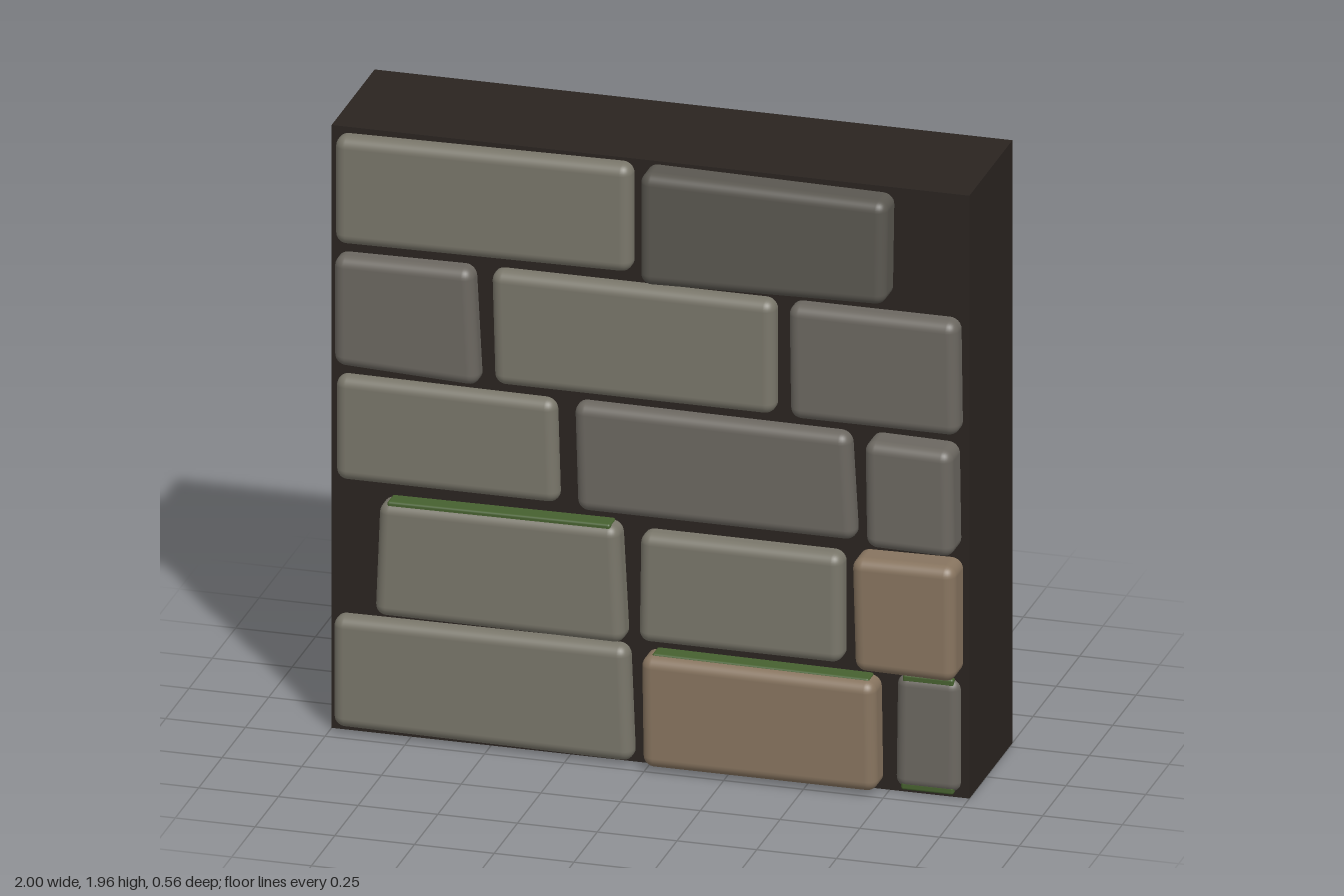
import * as THREE from 'three';
import { RoundedBoxGeometry } from 'three/addons/geometries/RoundedBoxGeometry.js';

const BACK = 0.1; // stones and moss are set into the mortar to this depth

const mat = (color) => new THREE.MeshStandardMaterial({ color });
const materials = {
  mortar: mat(0x2a2420),
  light: mat(0x79766a),
  grey: mat(0x6b6760),
  dark: mat(0x5a5750),
  brown: mat(0x87745f),
  moss: mat(0x46602f),
};

// Rounded block whose outline is stretched to four corners: TL, TR, BR, BL
function blockGeometry([tl, tr, br, bl], front, radius) {
  const w = (tr[0] + br[0] - tl[0] - bl[0]) / 2;
  const h = (tl[1] + tr[1] - bl[1] - br[1]) / 2;
  const d = front - BACK;
  const geo = new RoundedBoxGeometry(w, h, d, 4, radius);
  const p = geo.attributes.position;
  const mix = THREE.MathUtils.lerp;
  for (let i = 0; i < p.count; i++) {
    const u = p.getX(i) / w + 0.5;
    const v = p.getY(i) / h + 0.5;
    const x = mix(mix(bl[0], br[0], u), mix(tl[0], tr[0], u), v);
    const y = mix(mix(bl[1], br[1], u), mix(tl[1], tr[1], u), v);
    p.setXYZ(i, x, y, p.getZ(i) + BACK + d / 2);
  }
  return geo;
}

// Courses from top to bottom; each stone: colour, front z, corners TL TR BR BL
const courses = [
  [
    ['light', 0.23, [[-0.98, 1.94], [-0.05, 1.95], [-0.05, 1.6], [-0.98, 1.59]]],
    ['dark', 0.275, [[-0.01, 1.95], [0.765, 1.94], [0.76, 1.605], [-0.01, 1.585]]],
  ],
  [
    ['grey', 0.24, [[-0.98, 1.555], [-0.545, 1.56], [-0.525, 1.18], [-0.98, 1.2]]],
    ['light', 0.23, [[-0.49, 1.56], [0.4, 1.56], [0.4, 1.19], [-0.48, 1.19]]],
    ['grey', 0.24, [[0.445, 1.56], [0.975, 1.56], [0.98, 1.19], [0.45, 1.19]]],
  ],
  [
    ['light', 0.22, [[-0.98, 1.16], [-0.29, 1.155], [-0.28, 0.82], [-0.98, 0.82]]],
    ['grey', 0.23, [[-0.23, 1.16], [0.635, 1.155], [0.655, 0.81], [-0.22, 0.81]]],
    ['grey', 0.28, [[0.695, 1.16], [0.97, 1.155], [0.975, 0.81], [0.7, 0.815]]],
  ],
  [
    ['light', 0.25, [[-0.835, 0.775], [-0.085, 0.78], [-0.065, 0.4], [-0.85, 0.405]]],
    ['light', 0.24, [[-0.02, 0.765], [0.615, 0.765], [0.615, 0.41], [-0.025, 0.41]]],
    ['brown', 0.28, [[0.655, 0.775], [0.98, 0.78], [0.98, 0.405], [0.665, 0.41]]],
  ],
  [
    ['light', 0.23, [[-0.985, 0.38], [-0.06, 0.385], [-0.045, 0.01], [-0.985, 0.02]]],
    ['brown', 0.265, [[-0.01, 0.375], [0.725, 0.37], [0.73, 0.015], [-0.005, 0.015]]],
    ['grey', 0.205, [[0.775, 0.385], [0.975, 0.385], [0.975, 0.015], [0.77, 0.015]]],
  ],
];

// Moss strips: left, right, y at left, y at right, thickness, front z
const mossStrips = [
  [-0.81, -0.11, 0.767, 0.772, 0.026, 0.238],
  [0.02, 0.7, 0.367, 0.362, 0.026, 0.235],
  [0.795, 0.955, 0.375, 0.375, 0.026, 0.2],
  [0.79, 0.955, 0.025, 0.025, 0.026, 0.2],
];

export function createModel() {
  const wall = new THREE.Group();
  wall.name = 'stoneWall';
  const add = (name, geo, material) => {
    const mesh = new THREE.Mesh(geo, material);
    mesh.name = name;
    wall.add(mesh);
    return mesh;
  };

  // Mortar slab behind the stones
  add('mortarSlab', new THREE.BoxGeometry(2, 1.96, 0.46), materials.mortar).position.set(0, 0.98, -0.05);

  // Rows of stones
  courses.forEach((row, r) => row.forEach(([color, front, corners], c) => {
    add(`stone_row${r + 1}_${c + 1}`, blockGeometry(corners, front, 0.035), materials[color]);
  }));

  // Moss along the stone edges
  mossStrips.forEach(([x0, x1, y0, y1, t, front], i) => {
    const h = t / 2;
    const corners = [[x0, y0 + h], [x1, y1 + h], [x1, y1 - h], [x0, y0 - h]];
    add(`moss_${i + 1}`, blockGeometry(corners, front, 0.008), materials.moss);
  });

  return wall;
}
